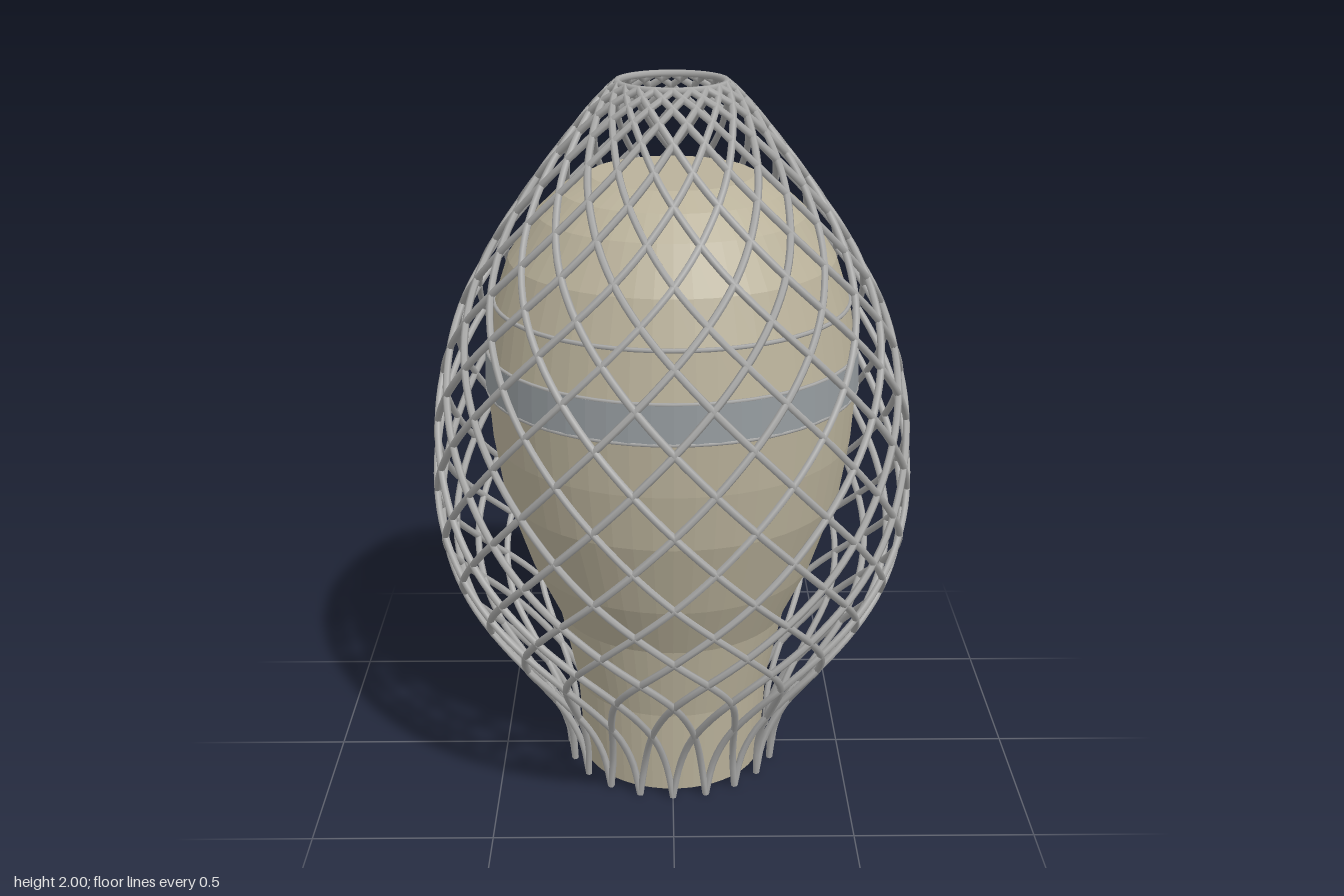
import * as THREE from 'three';

const STRANDS = 20;
const V = (x, y) => new THREE.Vector2(x, y);

// Cage outline: [height, radius, twist in degrees]
const CAGE = [
  [0, 0.305, 0], [0.1, 0.316, 3], [0.2, 0.354, 7], [0.3, 0.42, 12], [0.42, 0.51, 19],
  [0.6, 0.613, 36], [0.78, 0.66, 54], [0.98, 0.662, 72], [1.19, 0.637, 90],
  [1.39, 0.575, 108], [1.57, 0.478, 126], [1.74, 0.36, 144], [1.88, 0.25, 163],
  [1.95, 0.19, 180], [1.99, 0.147, 198],
];

// One strand of the cage, wound in the given direction
function strandGeometry(direction) {
  const outline = new THREE.CatmullRomCurve3(
    CAGE.map(([y, r, twist]) => new THREE.Vector3(r, y, THREE.MathUtils.degToRad(twist))));
  const points = [];
  for (let i = 0; i <= 56; i++) {
    const p = outline.getPoint(i / 56);
    const a = direction * p.z;
    points.push(new THREE.Vector3(p.x * Math.sin(a), p.y, p.x * Math.cos(a)));
  }
  return new THREE.TubeGeometry(new THREE.CatmullRomCurve3(points), 80, 0.01, 6);
}

export function createModel() {
  const model = new THREE.Group();
  const stone = new THREE.MeshStandardMaterial({ color: 0xb9b19a });
  stone.flatShading = true;
  const glass = new THREE.MeshStandardMaterial({ color: 0x959b9f });
  glass.flatShading = true;
  const steel = new THREE.MeshStandardMaterial({ color: 0xa9a9a8, side: THREE.DoubleSide });

  const add = (name, geometry, material, parent = model) => {
    const mesh = new THREE.Mesh(geometry, material);
    mesh.name = name;
    parent.add(mesh);
    return mesh;
  };
  const addRing = (name, radius, tube, y) => {
    const ring = add(name, new THREE.TorusGeometry(radius, tube, 6, 64), steel);
    ring.rotation.x = Math.PI / 2;
    ring.position.y = y;
  };

  // Solid core with a flat base and roof
  add('core', new THREE.LatheGeometry([
    V(0, 0), V(0.265, 0), V(0.28, 0.25), V(0.33, 0.48), V(0.405, 0.64), V(0.477, 0.86),
    V(0.502, 1.02), V(0.512, 1.17), V(0.507, 1.28), V(0.485, 1.41), V(0.445, 1.53),
    V(0.365, 1.65), V(0.3, 1.71), V(0.22, 1.75), V(0, 1.75),
  ], 56), stone);

  // Window band, edged by thin rings, and the ledge above it
  add('windowBand', new THREE.LatheGeometry([
    V(0.508, 1.17), V(0.518, 1.17), V(0.515, 1.275), V(0.503, 1.275),
  ], 56), glass);
  addRing('bandLowerRing', 0.515, 0.005, 1.17);
  addRing('bandUpperRing', 0.511, 0.005, 1.277);
  addRing('upperLedge', 0.486, 0.006, 1.41);

  // Lattice cage: two mirrored sets of winding strands, closed by a rim
  for (const direction of [1, -1]) {
    const set = new THREE.Group();
    set.name = direction > 0 ? 'leftWoundStrands' : 'rightWoundStrands';
    const geometry = strandGeometry(direction);
    for (let i = 0; i < STRANDS; i++) {
      add('strand', geometry, steel, set).rotation.y = (i / STRANDS) * Math.PI * 2;
    }
    model.add(set);
  }
  addRing('topRim', 0.145, 0.01, 1.99);
  return model;
}
